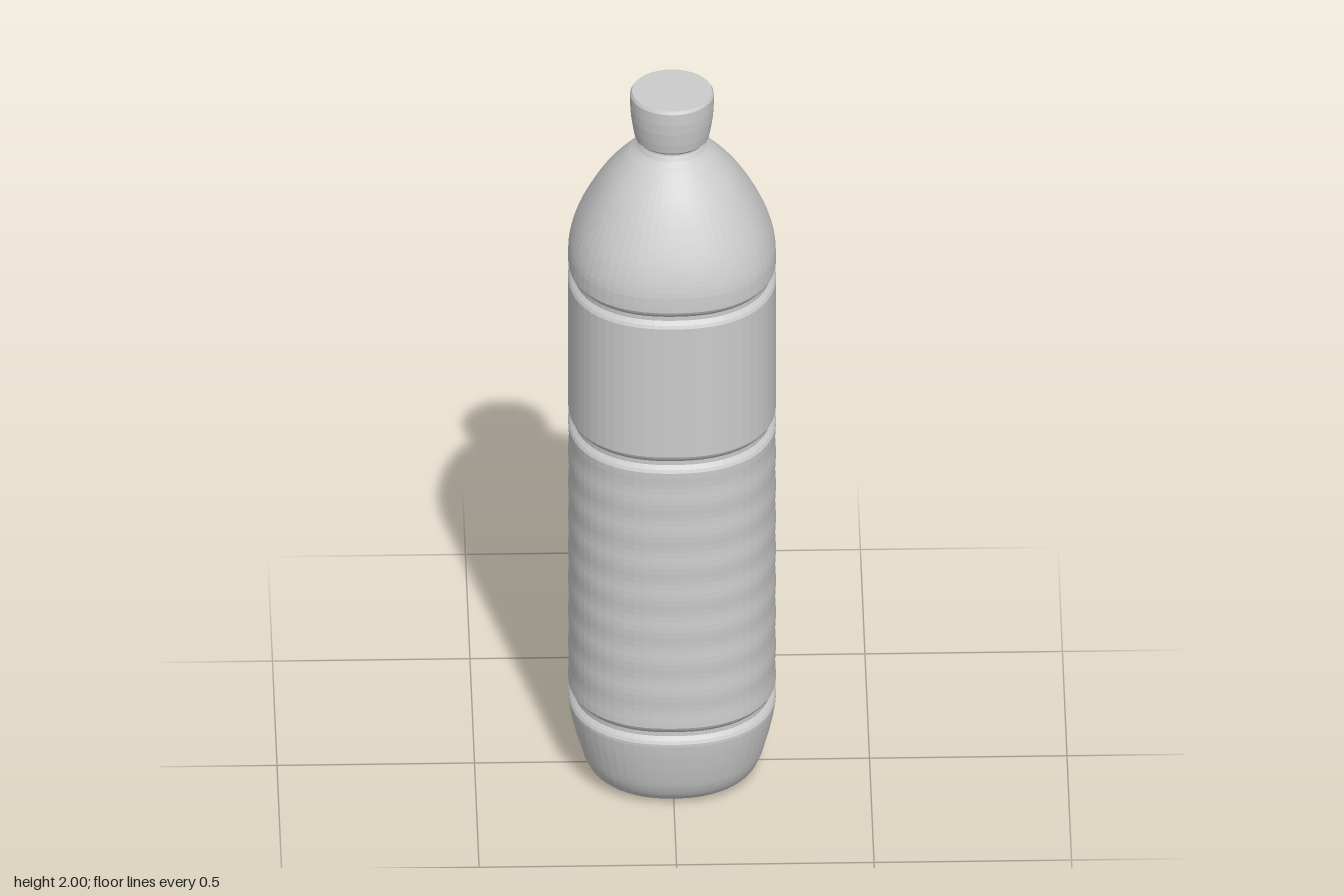
import * as THREE from 'three';

const SIDES = 64;
const R = 0.263;
const smooth = THREE.MathUtils.smoothstep;
const bump = (d, w) => Math.exp(-(d * d) / (w * w));

// Lathe whose outline is rounded square at the body and circular at the neck
function squarishLathe(points, name, material, reshape = () => {}) {
  const geo = new THREE.LatheGeometry(points, SIDES);
  const pos = geo.attributes.position;
  const v = new THREE.Vector3();
  for (let i = 0; i < pos.count; i++) {
    v.fromBufferAttribute(pos, i);
    const r = Math.hypot(v.x, v.z);
    if (r > 1e-6) {
      const n = 2 + 0.28 * smooth(r, 0.1, 0.25);
      const c = Math.abs(v.x / r), s = Math.abs(v.z / r);
      const k = Math.pow(Math.pow(c, n) + Math.pow(s, n), -1 / n);
      v.x *= k;
      v.z *= k;
    }
    reshape(v);
    pos.setXYZ(i, v.x, v.y, v.z);
  }
  geo.computeVertexNormals();
  const mesh = new THREE.Mesh(geo, material);
  mesh.name = name;
  return mesh;
}

// Smooth profile through a few [radius, height] points
function profile(pairs, divisions) {
  const pts = pairs.map(([r, y]) => new THREE.Vector3(r, y, 0));
  return new THREE.CatmullRomCurve3(pts, false, 'centripetal')
    .getSpacedPoints(divisions)
    .map(p => new THREE.Vector2(Math.max(p.x, 0), p.y));
}

// Pinched ring between two body sections
const ring = y => [
  [R, y - 0.024], [R - 0.004, y - 0.016], [R - 0.013, y - 0.006],
  [R - 0.013, y + 0.006], [R - 0.004, y + 0.016], [R, y + 0.024],
].map(([r, h]) => new THREE.Vector2(r, h));

// Straight wall with faint horizontal ripples
function wall(y0, y1, steps, ripple) {
  const out = [];
  for (let i = 1; i < steps; i++) {
    const t = i / steps;
    const r = R - ripple * (1 - Math.cos(t * Math.PI * 16)) / 2;
    out.push(new THREE.Vector2(r, y0 + (y1 - y0) * t));
  }
  return out;
}

// Two-lobed foot: a channel runs along x and deepens toward the wall
function carveFoot(v) {
  if (v.y > 0.2) return;
  const ax = Math.abs(v.x);
  const fade = 1 - smooth(v.y, 0.03, 0.17);
  const out = smooth(ax, 0.08, 0.2);
  const across = bump(v.z, 0.05);
  v.x -= Math.sign(v.x) * 0.04 * out * across * fade;
  v.y += (0.028 * smooth(ax, 0.05, 0.13) + 0.03 * out) * across * fade;
}

export function createModel() {
  const group = new THREE.Group();
  group.name = 'bottle';
  const mat = new THREE.MeshStandardMaterial({ color: 0xcccccc, flatShading: true });

  // Foot with a shallow recess and a low central bump
  const foot = profile([
    [0, 0.018], [0.04, 0.022], [0.075, 0.034], [0.11, 0.02], [0.15, 0.004],
    [0.185, 0.006], [0.213, 0.026], [0.232, 0.06], [0.246, 0.11], [0.258, 0.17], [R, 0.205],
  ], 36);

  // Domed shoulder narrowing to the neck
  const shoulder = profile([
    [R, 1.51], [0.261, 1.55], [0.245, 1.61], [0.208, 1.69], [0.165, 1.76],
    [0.118, 1.815], [0.09, 1.84], [0.081, 1.855], [0.081, 1.885],
  ], 28);

  const body = [
    ...foot, ...ring(0.237),
    ...wall(0.261, 1.021, 48, 0.002), ...ring(1.045),
    ...wall(1.069, 1.451, 8, 0), ...ring(1.475),
    ...shoulder,
  ];
  group.add(squarishLathe(body, 'bottleBody', mat, carveFoot));

  // Screw cap, slightly tapered toward its lower rim
  const cap = [
    [0, 1.862], [0.086, 1.862], [0.094, 1.87], [0.099, 1.895], [0.104, 1.93],
    [0.106, 1.96], [0.106, 1.992], [0.101, 2], [0, 2],
  ].map(([r, y]) => new THREE.Vector2(r, y));
  group.add(squarishLathe(cap, 'cap', mat));

  return group;
}
